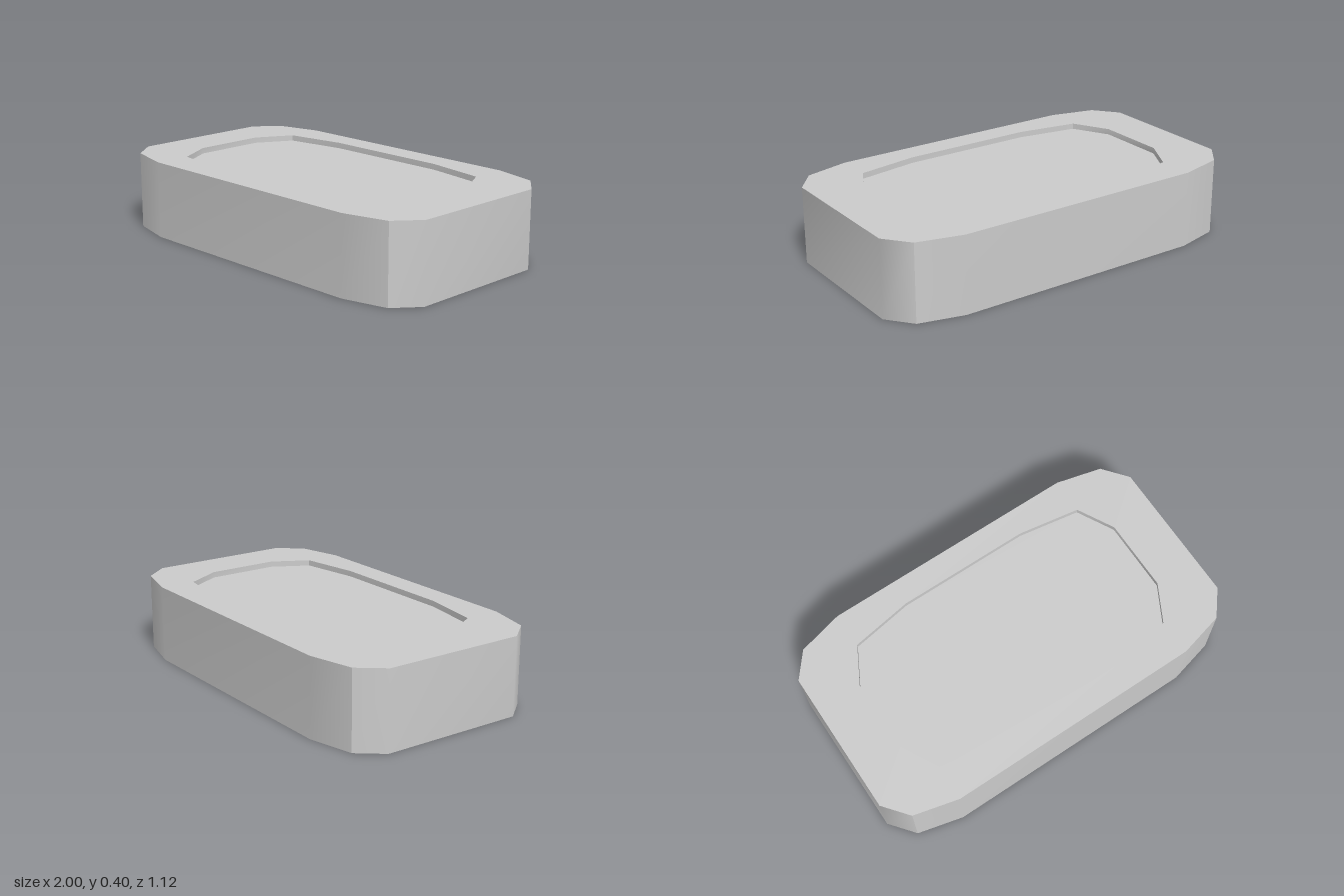
import * as THREE from 'three';
import { mergeGeometries } from 'three/addons/utils/BufferGeometryUtils.js';

const HEIGHT = 0.4;
const RECESS = 0.03;

// Four bowed sides, front first, each from corner to corner.
function sidesOf([frontX, frontZ], [cornerX, cornerZ], [sideX, sideZ]) {
  const front = [[-cornerX, cornerZ], [-frontX, frontZ], [frontX, frontZ], [cornerX, cornerZ]];
  const left = [[cornerX, cornerZ], [sideX, sideZ], [sideX, -sideZ], [cornerX, -cornerZ]];
  const turn = (side) => side.map(([x, z]) => [-x, -z]);
  return [front, left, turn(front), turn(left)];
}

// Vertical wall, smooth along each side and sharp at the four corners.
// Swapping y0 and y1 makes it face inwards.
function wall(sides, y0, y1) {
  return mergeGeometries(sides.map((side) => {
    const position = [], index = [];
    side.forEach(([x, z], i) => {
      position.push(x, y0, z, x, y1, z);
      const a = i * 2;
      if (i < side.length - 1) index.push(a, a + 2, a + 3, a, a + 3, a + 1);
    });
    const geometry = new THREE.BufferGeometry();
    geometry.setAttribute('position', new THREE.Float32BufferAttribute(position, 3));
    geometry.setIndex(index);
    geometry.computeVertexNormals();
    return geometry;
  }));
}

// Flat horizontal face, with an optional hole.
function flat(sides, y, up, holeSides) {
  const loop = (s) => s.flatMap((side) => side.slice(0, -1)).map(([x, z]) => new THREE.Vector2(x, -z));
  const shape = new THREE.Shape(loop(sides));
  if (holeSides) shape.holes.push(new THREE.Path(loop(holeSides)));
  return new THREE.ShapeGeometry(shape)
    .rotateX(up ? -Math.PI / 2 : Math.PI / 2)
    .translate(0, y, 0);
}

export function createModel() {
  const group = new THREE.Group();
  group.name = 'block';
  const material = new THREE.MeshStandardMaterial({ color: 0xcccccc });
  const add = (name, geometry) => {
    const mesh = new THREE.Mesh(geometry, material);
    mesh.name = name;
    group.add(mesh);
  };

  const outer = sidesOf([0.665, 0.56], [0.898, 0.502], [1, 0.375]);
  const inner = sidesOf([0.345, 0.427], [0.663, 0.375], [0.764, 0.187]);

  add('outerWall', wall(outer, 0, HEIGHT));

  // Rim, recess wall and recess floor, on the top and on the underside
  add('topRim', flat(outer, HEIGHT, true, inner));
  add('topRecessWall', wall(inner, HEIGHT, HEIGHT - RECESS));
  add('topRecessFloor', flat(inner, HEIGHT - RECESS, true));
  add('bottomRim', flat(outer, 0, false, inner));
  add('bottomRecessWall', wall(inner, RECESS, 0));
  add('bottomRecessFloor', flat(inner, RECESS, false));

  return group;
}
